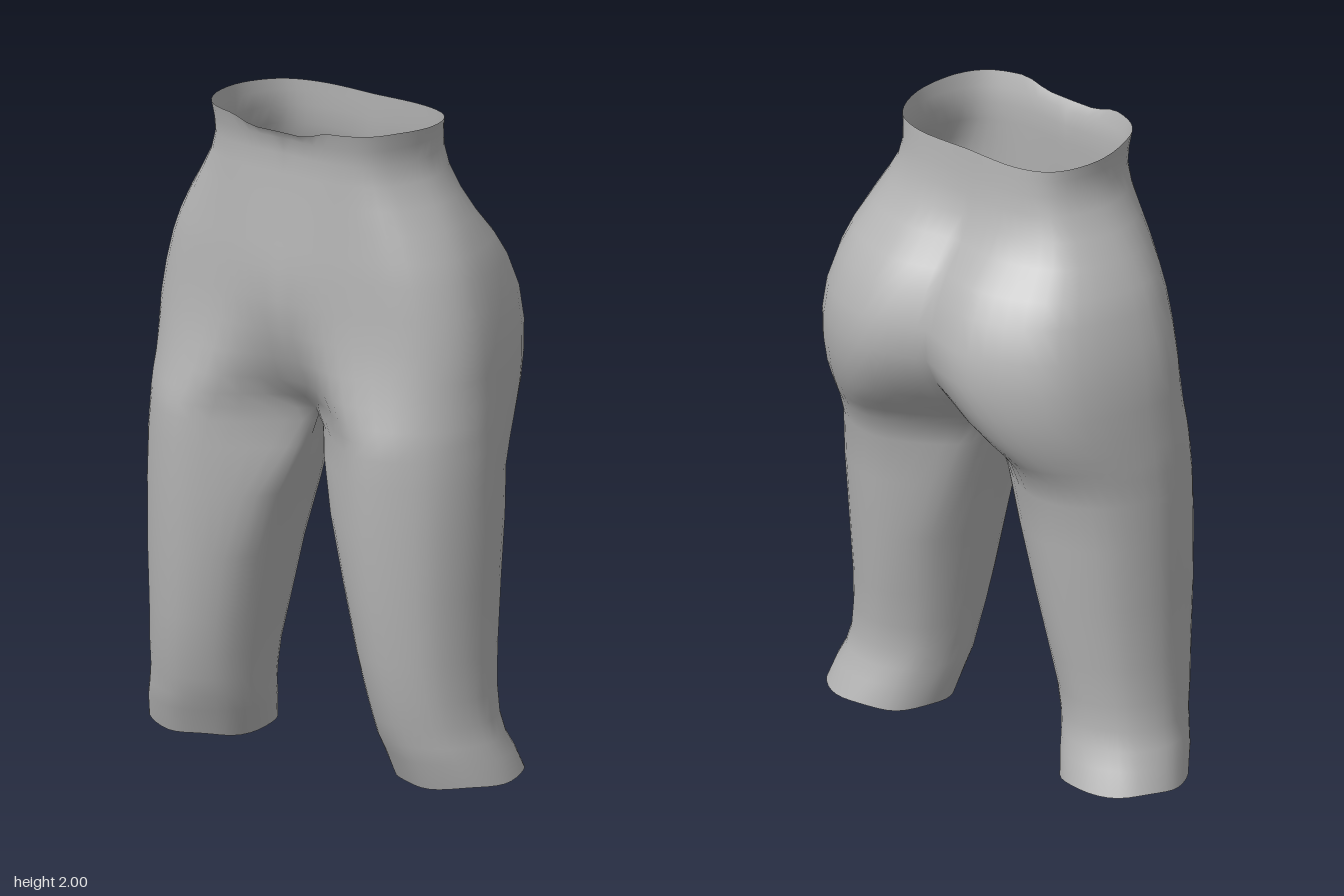
import * as THREE from 'three';
import { mergeVertices } from 'three/addons/utils/BufferGeometryUtils.js';

// Half sections from waist down:
// y, inner x, outer x, bulge centre x, front z, back z, side z, inner front z, inner back z
const HIPS = [
  [2.00, 0, .360, .19, .325, -.130, .08, .330, -.130],
  [1.95, 0, .356, .19, .310, -.132, .08, .312, -.131],
  [1.90, 0, .355, .19, .303, -.135, .08, .305, -.133],
  [1.84, 0, .375, .19, .306, -.143, .08, .308, -.138],
  [1.77, 0, .420, .19, .311, -.163, .08, .314, -.150],
  [1.70, 0, .465, .19, .316, -.205, .08, .320, -.180],
  [1.62, 0, .508, .19, .322, -.278, .08, .328, -.240],
  [1.55, 0, .535, .20, .326, -.325, .08, .335, -.280],
  [1.45, 0, .562, .21, .328, -.365, .08, .338, -.315],
  [1.35, 0, .580, .22, .332, -.370, .08, .322, -.315],
  [1.26, 0, .585, .24, .340, -.352, .08, .290, -.270],
  [1.18, 0, .589, .26, .351, -.318, .08, .250, -.205],
  [1.12, 0, .593, .28, .357, -.280, .09, .200, -.130],
];
const LEGS = [
  [1.075, 0, .595, .30, .360, -.245, .09, .150, -.070],
  [1.03, .030, .596, .31, .364, -.215, .09, .165, -.060],
  [.95, .050, .597, .32, .367, -.182, .10, .200, -.060],
  [.80, .090, .597, .34, .367, -.165, .10, .260, -.070],
  [.60, .145, .592, .36, .358, -.140, .11, .280, -.070],
  [.40, .190, .590, .38, .338, -.108, .11, .270, -.040],
  [.28, .215, .595, .40, .318, -.090, .11, .255, -.030],
  [.20, .230, .602, .41, .300, -.086, .10, .240, -.030],
  [.14, .240, .618, .42, .285, -.095, .09, .220, -.045],
  [.09, .250, .637, .44, .268, -.115, .07, .200, -.065],
  [.02, .270, .655, .46, .235, -.140, .05, .180, -.085],
];
const STEPS = 5, COUNT = 8 * STEPS, INNER = 6 * STEPS;

function hermite(p0, p1, p2, p3, t) {
  const f = k => {
    const m1 = (p2[k] - p0[k]) / 2, m2 = (p3[k] - p1[k]) / 2;
    return (2 * t ** 3 - 3 * t * t + 1) * p1[k] + (t ** 3 - 2 * t * t + t) * m1
      + (3 * t * t - 2 * t ** 3) * p2[k] + (t ** 3 - t * t) * m2;
  };
  return [f(0), f(1)];
}

// One loop: front inner, front, front corner, side, back corner, back, back inner, inseam
function section([y, xi, xo, cx, zf, zb, zs, fi, bi], isHip) {
  const innerX = (z, edge) => xi === 0 ? 0
    : cx - (cx - xi) * Math.sqrt(Math.max(0, 1 - ((z - zs) / (edge - zs)) ** 2));
  const c = 0.715, cornerX = cx + c * (xo - cx);
  const p = [
    [innerX(fi, zf), fi], [cx, zf], [cornerX, zs + c * (zf - zs)], [xo, zs],
    [cornerX, zs + c * (zb - zs)], [cx, zb], [innerX(bi, zb), bi], [xi, zs],
  ];
  const ring = [];
  for (let s = 0; s < 8; s++) {
    let before = p[(s + 7) % 8], after = p[(s + 2) % 8];
    if (isHip && s === 0) before = [-p[1][0], p[1][1]]; // smooth across the belly
    if (isHip && s === 5) after = p[6];                 // crease at the seat
    for (let k = 0; k < STEPS; k++) {
      const [x, z] = hermite(before, p[s], p[(s + 1) % 8], after, k / STEPS);
      ring.push([Math.max(0, x < 1e-6 ? 0 : x), y, z]);
    }
  }
  return ring;
}

function trouserGeometry() {
  const rings = [...HIPS.map(l => section(l, true)), ...LEGS.map(l => section(l, false))];

  // Waist edge: small dip at the front, slightly lower at the back
  for (const v of rings[0]) {
    if (v[2] > 0.2) v[1] -= 0.025 * (1 - THREE.MathUtils.smoothstep(v[0], 0.08, 0.19));
    else v[1] -= 0.02 * THREE.MathUtils.clamp((0.2 - v[2]) / 0.33, 0, 1);
  }
  // Uneven hem: lowest on the inner front, raised on the outer back
  rings[rings.length - 1].forEach((v, j) => {
    v[1] = 0.012 + 0.03 * (v[0] - 0.45) - 0.03 * (v[2] - 0.05)
      + 0.004 * Math.sin(j / COUNT * Math.PI * 10);
    v[1] = Math.max(0, v[1]);
  });

  const pos = [];
  const tri = (a, b, c) => {
    pos.push(...a, ...b, ...c);
    for (const v of [a, c, b]) pos.push(v[0] === 0 ? 0 : -v[0], v[1], v[2]); // mirrored half
  };
  for (let i = 0; i < rings.length - 1; i++) {
    const span = i < HIPS.length ? INNER : COUNT; // hips stay open on the centre line
    for (let j = 0; j < span; j++) {
      const k = (j + 1) % COUNT;
      const a = rings[i][j], b = rings[i][k], c = rings[i + 1][j], d = rings[i + 1][k];
      tri(a, c, b);
      tri(b, c, d);
    }
  }
  // Inseam below the crotch line
  const top = rings[HIPS.length], next = rings[HIPS.length + 1];
  for (let j = INNER; j < COUNT; j++) {
    const k = (j + 1) % COUNT;
    tri(top[j], next[j], top[k]);
    tri(top[k], next[j], next[k]);
  }

  const soup = new THREE.BufferGeometry();
  soup.setAttribute('position', new THREE.Float32BufferAttribute(pos, 3));
  const geometry = mergeVertices(soup, 1e-5);
  geometry.computeVertexNormals();
  return geometry;
}

export function createModel() {
  const group = new THREE.Group();
  group.name = 'trousers';
  const cloth = new THREE.MeshStandardMaterial({ color: 0xb4b4b4, side: THREE.DoubleSide });
  cloth.name = 'grey cloth';
  const mesh = new THREE.Mesh(trouserGeometry(), cloth);
  mesh.name = 'trouserShell';
  group.add(mesh);
  return group;
}
